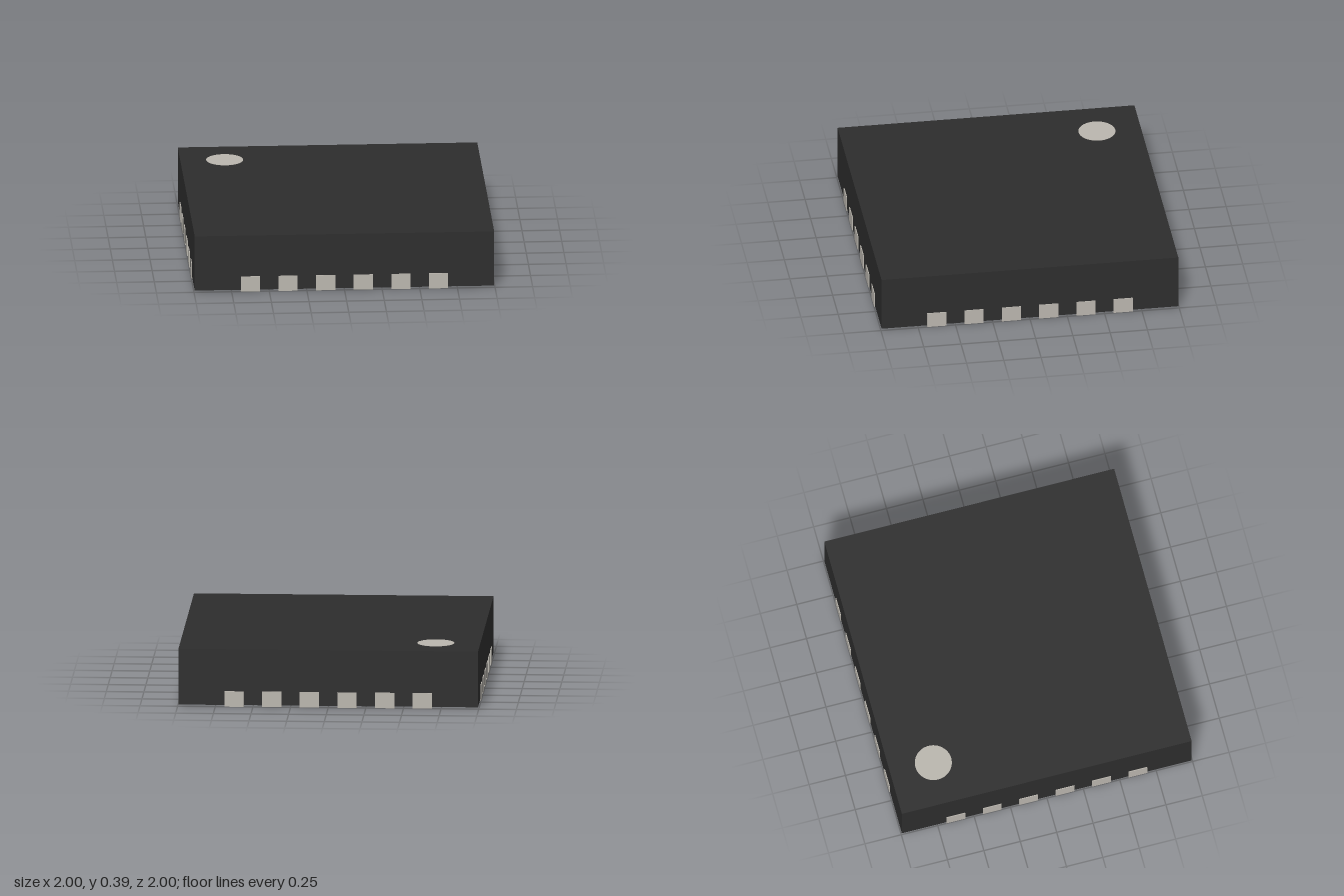
import * as THREE from 'three';

const BODY_HALF = 0.995, BODY_BOTTOM = 0.011, BODY_TOP = 0.387;
const PIN_COUNT = 6, PITCH = 0.25, PIN_WIDTH = 0.128, PIN_INNER = 0.8, PIN_HEIGHT = 0.104;

// Extrudes a plan shape (x, -z) upward from y = 0
function extrudeUp(shape, height) {
  const geometry = new THREE.ExtrudeGeometry(shape, { depth: height, bevelEnabled: false, curveSegments: 12 });
  return geometry.rotateX(-Math.PI / 2);
}

// Terminal with a round inner end, lying along +x and reaching the edge at x = 1
function pinGeometry() {
  const r = PIN_WIDTH / 2;
  const shape = new THREE.Shape();
  shape.moveTo(1, -r);
  shape.lineTo(1, r);
  shape.lineTo(PIN_INNER + r, r);
  shape.absarc(PIN_INNER + r, 0, r, Math.PI / 2, Math.PI * 1.5, false);
  shape.closePath();
  return extrudeUp(shape, PIN_HEIGHT);
}

// Square pad with a cut corner at -x, -z
function padGeometry() {
  const h = 0.68, cut = 0.175;
  const shape = new THREE.Shape([
    new THREE.Vector2(-h, -h),
    new THREE.Vector2(h, -h),
    new THREE.Vector2(h, h),
    new THREE.Vector2(-h + cut, h),
    new THREE.Vector2(-h, h - cut),
  ]);
  return extrudeUp(shape, 0.03);
}

export function createModel() {
  const plastic = new THREE.MeshStandardMaterial({ name: 'black plastic', color: 0x2d2d2d });
  const metal = new THREE.MeshStandardMaterial({ name: 'tinned metal', color: 0xbab6ae });

  const model = new THREE.Group();
  model.name = 'chipPackage';
  const add = (name, geometry, material, parent = model) => {
    const mesh = new THREE.Mesh(geometry, material);
    mesh.name = name;
    parent.add(mesh);
    return mesh;
  };

  // Moulded body
  const height = BODY_TOP - BODY_BOTTOM;
  add('body', new THREE.BoxGeometry(BODY_HALF * 2, height, BODY_HALF * 2), plastic)
    .position.y = BODY_BOTTOM + height / 2;

  // Orientation dot
  add('orientationDot', new THREE.CylinderGeometry(0.123, 0.123, 0.004, 48), metal)
    .position.set(-0.7, BODY_TOP, -0.7);

  // Thermal pad underneath
  add('thermalPad', padGeometry(), metal);

  // A row of terminals on each of the four sides
  const pin = pinGeometry();
  ['leftPins', 'backPins', 'rightPins', 'frontPins'].forEach((name, side) => {
    const row = new THREE.Group();
    row.name = name;
    row.rotation.y = side * Math.PI / 2;
    for (let i = 0; i < PIN_COUNT; i++) {
      add('pin', pin, metal, row).position.z = (i - (PIN_COUNT - 1) / 2) * PITCH;
    }
    model.add(row);
  });

  return model;
}
